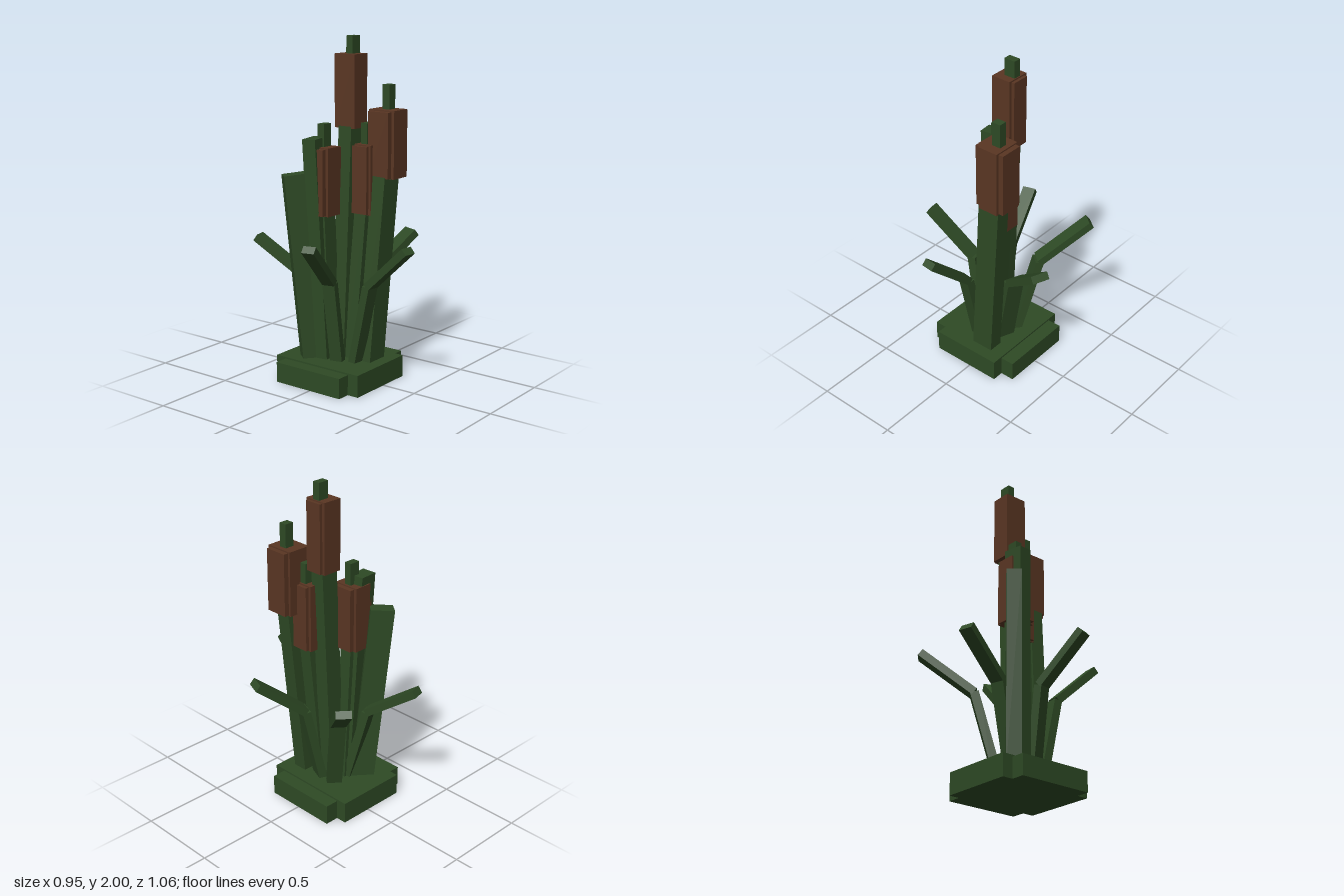
import * as THREE from 'three';

export function createModel() {
  const green = new THREE.MeshStandardMaterial({ color: 0x2e4a25 });
  green.name = 'reed green';
  const brown = new THREE.MeshStandardMaterial({ color: 0x5a3623 });
  brown.name = 'cattail brown';

  const model = new THREE.Group();
  model.name = 'cattailClump';

  // Axis-aligned box from its limits
  function block(name, [x0, x1], [y0, y1], [z0, z1], material, parent) {
    const mesh = new THREE.Mesh(new THREE.BoxGeometry(x1 - x0, y1 - y0, z1 - z0), material);
    mesh.position.set((x0 + x1) / 2, (y0 + y1) / 2, (z0 + z1) / 2);
    mesh.name = name;
    parent.add(mesh);
  }

  // Leaning box between two points; `side` is the direction of its width
  function beam(name, from, to, width, depth, side, parent) {
    const a = new THREE.Vector3(...from);
    const b = new THREE.Vector3(...to);
    const up = b.clone().sub(a);
    const length = up.length();
    up.normalize();
    const z = side.clone().cross(up).normalize();
    const x = up.clone().cross(z);
    const mesh = new THREE.Mesh(new THREE.BoxGeometry(width, length, depth), green);
    mesh.quaternion.setFromRotationMatrix(new THREE.Matrix4().makeBasis(x, up, z));
    mesh.position.copy(a).add(b).multiplyScalar(0.5);
    mesh.name = name;
    parent.add(mesh);
  }

  // Root mat: two overlapping slabs
  block('wideSlab', [-0.33, 0.28], [0, 0.12], [-0.245, 0.215], green, model);
  block('deepSlab', [-0.25, 0.195], [0, 0.13], [-0.31, 0.285], green, model);

  // Cattails: leaning stem, cross-shaped head of two blocks, and a tip
  const cattails = [
    { foot: [0.0, 0.1, -0.01], neck: [0.06, 1.49, 0.0], w: 0.11, d: 0.09, y: [1.48, 1.9],
      a: [[0.005, 0.125], [-0.073, 0.068]], b: [[0.02, 0.143], [-0.055, 0.05]],
      tip: [[0.05, 0.12], [-0.025, 0.02]], top: 2.0 },
    { foot: [0.035, 0.1, 0.165], neck: [0.125, 1.21, 0.2], w: 0.14, d: 0.09, y: [1.2, 1.59],
      a: [[0.088, 0.215], [0.11, 0.283]], b: [[0.055, 0.245], [0.125, 0.265]],
      tip: [[0.13, 0.187], [0.172, 0.22]], top: 1.73 },
    { foot: [0.01, 0.1, 0.06], neck: [0.08, 1.0, 0.09], w: 0.1, d: 0.08, y: [0.985, 1.39],
      a: [[0.035, 0.145], [0.02, 0.16]], b: [[0.015, 0.165], [0.038, 0.145]],
      tip: [[0.065, 0.135], [0.07, 0.112]], top: 1.51 },
    { foot: [-0.06, 0.1, -0.06], neck: [-0.085, 1.0, -0.08], w: 0.1, d: 0.08, y: [0.985, 1.38],
      a: [[-0.145, -0.033], [-0.163, -0.005]], b: [[-0.175, -0.003], [-0.145, -0.022]],
      tip: [[-0.112, -0.045], [-0.105, -0.06]], top: 1.51 },
  ];
  cattails.forEach((c, i) => {
    const group = new THREE.Group();
    group.name = `cattail${i + 1}`;
    beam('stem', c.foot, c.neck, c.w, c.d, new THREE.Vector3(1, 0, 0), group);
    block('headCore', c.a[0], c.y, c.a[1], brown, group);
    block('headCross', c.b[0], [c.y[0] + 0.005, c.y[1] - 0.008], c.b[1], brown, group);
    block('tip', c.tip[0], [c.y[1] - 0.02, c.top], c.tip[1], green, group);
    model.add(group);
  });

  // Tall straight leaves
  beam('tallLeaf', [-0.125, 0.1, -0.13], [-0.205, 1.225, -0.2], 0.14, 0.085, new THREE.Vector3(0.78, 0, 0.63), model);
  beam('tallLeaf', [-0.085, 0.1, -0.07], [-0.137, 1.43, -0.112], 0.12, 0.085, new THREE.Vector3(0.99, 0, -0.12), model);

  // Bent leaves: upright lower half, outward upper half
  const bentLeaves = [
    { foot: [-0.06, 0.1, -0.08], elbow: [-0.095, 0.6, -0.21], end: [-0.178, 0.81, -0.51], w: 0.08 },
    { foot: [0.06, 0.1, -0.08], elbow: [0.14, 0.6, -0.195], end: [0.335, 0.835, -0.435], w: 0.09 },
    { foot: [0.06, 0.1, 0.03], elbow: [0.165, 0.6, 0.065], end: [0.44, 0.825, 0.175], w: 0.105 },
    { foot: [-0.1, 0.1, 0.03], elbow: [-0.175, 0.61, 0.03], end: [-0.45, 0.87, 0.098], w: 0.075 },
    { foot: [-0.055, 0.1, 0.12], elbow: [-0.062, 0.6, 0.23], end: [-0.092, 0.855, 0.51], w: 0.078 },
  ];
  bentLeaves.forEach((l, i) => {
    const group = new THREE.Group();
    group.name = `bentLeaf${i + 1}`;
    const side = new THREE.Vector3(l.end[2] - l.elbow[2], 0, l.elbow[0] - l.end[0]).normalize();
    beam('lowerBlade', l.foot, l.elbow, l.w, 0.05, side, group);
    beam('upperBlade', l.elbow, l.end, l.w, 0.045, side, group);
    model.add(group);
  });

  return model;
}
